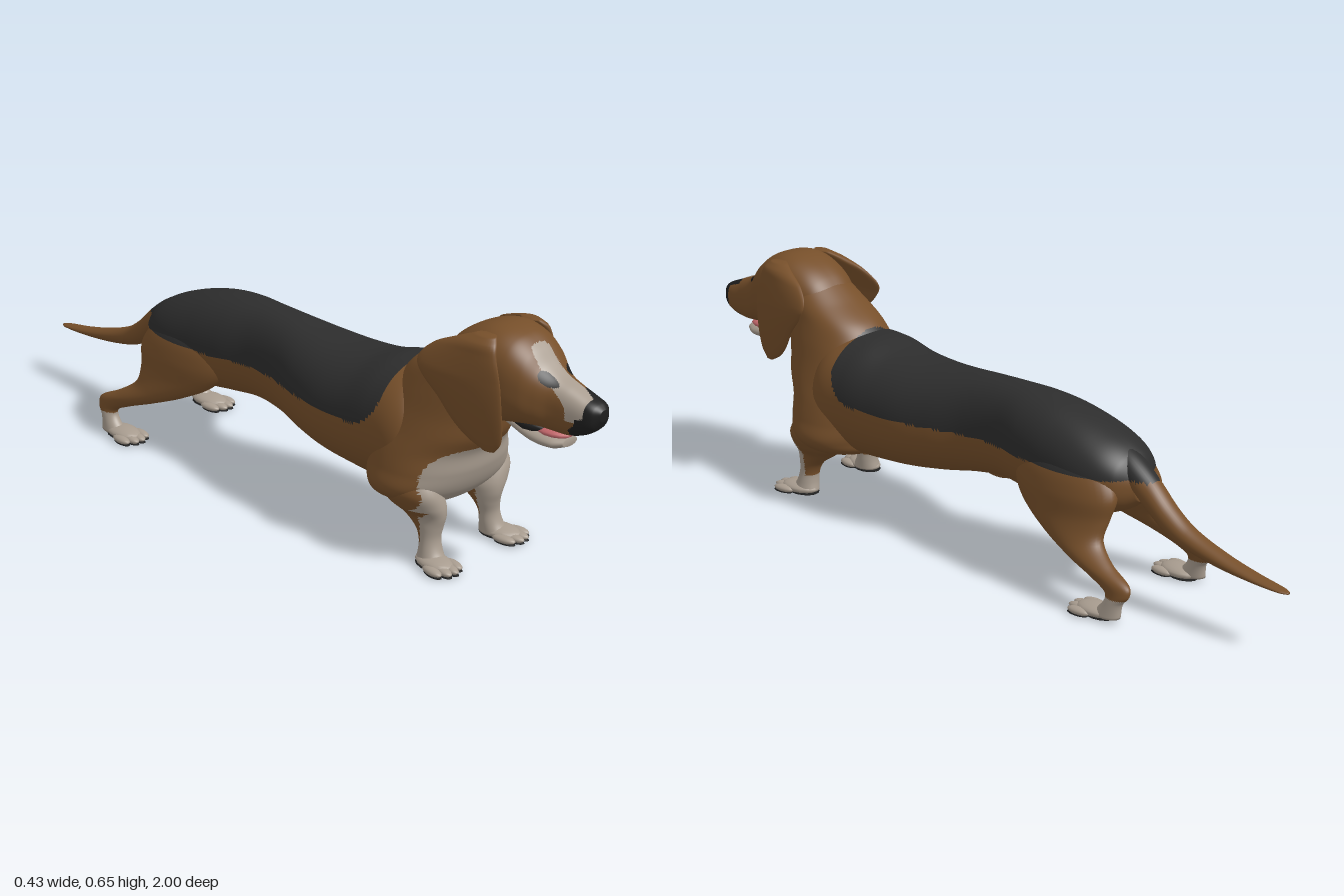
import * as THREE from 'three';

const flat = (name, color) => {
  const m = new THREE.MeshStandardMaterial({ color });
  m.name = name;
  return m;
};
const mats = [
  flat('tan coat', 0x764f2a), flat('off-white fur', 0xa89c8f), flat('black saddle', 0x2d2d2d),
  flat('dark pads', 0x1e1e1e), flat('pink tongue', 0xc4686c),
];
const TAN = 0, WHITE = 1, BLACK = 2, DARK = 3, PINK = 4;

// Smooth skin through cross-sections. Rows, ascending: [t, centre x, low, high, half width].
// axis 'z': t is z and low/high are y; axis 'y': t is y and low/high are z.
function loft(name, rows, { axis = 'z', side = 1, n = 40, m = 32, power = 2, bend, paint = () => TAN } = {}) {
  const slope = (k, c) => {
    const a = rows[Math.max(k - 1, 0)], b = rows[Math.min(k + 1, rows.length - 1)];
    return (b[c] - a[c]) / (b[0] - a[0]);
  };
  const sample = (u) => {
    const k = Math.min(Math.floor(u), rows.length - 2), f = u - k, h = rows[k + 1][0] - rows[k][0];
    return rows[k].map((v, c) => {
      if (c === 0) return v + f * h;
      const w = rows[k + 1][c], f2 = f * f, f3 = f2 * f;
      return v * (2 * f3 - 3 * f2 + 1) + w * (3 * f2 - 2 * f3)
        + h * (slope(k, c) * (f3 - 2 * f2 + f) + slope(k + 1, c) * (f3 - f2));
    });
  };
  const pts = [];
  for (let i = -1; i <= n + 1; i++) {
    const [t, x, lo, hi, w] = sample((Math.min(Math.max(i, 0), n) / n) * (rows.length - 1));
    const r = i < 0 || i > n ? 0 : 1; // closed ends
    for (let j = 0; j < m; j++) {
      const a = (j / m) * Math.PI * 2, c = Math.cos(a), s = Math.sin(a);
      const px = x * side + r * w * Math.sign(c) * Math.abs(c) ** (2 / power);
      const q = r * Math.sign(s) * Math.abs(s) ** (2 / power) * (hi - lo) / 2, mid = (lo + hi) / 2;
      const p = axis === 'z' ? new THREE.Vector3(px, mid + q, t) : new THREE.Vector3(px, t, mid - q);
      if (bend) bend(p, side);
      pts.push(p);
    }
  }
  const buckets = mats.map(() => []), mid = new THREE.Vector3();
  const tri = (a, b, c) => {
    mid.copy(pts[a]).add(pts[b]).add(pts[c]).divideScalar(3);
    buckets[paint(mid)].push(a, b, c);
  };
  for (let i = 0; i < n + 2; i++) {
    for (let j = 0; j < m; j++) {
      const a = i * m + j, b = i * m + (j + 1) % m;
      if (i > 0) tri(a, b, b + m);
      if (i < n + 1) tri(a, b + m, a + m);
    }
  }
  const geo = new THREE.BufferGeometry().setFromPoints(pts);
  geo.setIndex(buckets.flat());
  let start = 0;
  buckets.forEach((b, k) => {
    if (b.length) geo.addGroup(start, b.length, k);
    start += b.length;
  });
  geo.computeVertexNormals();
  const mesh = new THREE.Mesh(geo, mats);
  mesh.name = name;
  return mesh;
}

// Coat markings
const corner = (u, v, r) => u > 0 && v > 0 && u * u + v * v > r * r;
function coat({ x, y, z }) {
  if (y > 0.325 && z < 0.44 && z > -0.585 && !corner(z - 0.34, 0.425 - y, 0.1)) return BLACK;
  if (z > 0.56 && y > 0.152 && y < 0.317 && Math.abs(x) < 0.167
    && !corner(Math.abs(x) - 0.077, y - 0.227, 0.09)) return WHITE;
  return TAN;
}
function face({ x, y, z }) {
  const eye = (cx, rx, ry) => ((x - cx) / rx) ** 2 + ((y - 0.557) / ry) ** 2 < 1;
  if (z > 0.8 && (eye(-0.032, 0.017, 0.017) || eye(0.055, 0.018, 0.009))) return DARK;
  if (z > 0.968 || (z > 0.93 && x > -0.028 && x < 0.05 && y < 0.505 + x)) return DARK;
  if (z > 0.75 && x > -0.034 && x < 0.03 && y > 0.47 && y < 0.625
    && !corner(Math.abs(x + 0.002) - 0.012, y - 0.605, 0.02)) return WHITE;
  return TAN;
}
const frontSock = (p) => (p.y < 0.06 || (p.z > 0.572 && p.y < 0.16 && Math.abs(p.x) < 0.148) ? WHITE : coat(p));
const hindSock = (p) => (p.y < 0.065 ? WHITE : coat(p));

function ball(name, mat, x, y, z, rx, ry, rz) {
  const mesh = new THREE.Mesh(new THREE.SphereGeometry(1, 14, 10), mats[mat]);
  mesh.position.set(x, y, z);
  mesh.scale.set(rx, ry, rz);
  mesh.name = name;
  return mesh;
}

// Flat paw with four splayed toes and dark pads
function paw(name, x, z, turn) {
  const g = new THREE.Group();
  g.name = name;
  g.add(ball('pawBase', WHITE, 0, 0.016, -0.005, 0.038, 0.016, 0.06));
  g.add(ball('heelPad', DARK, 0, 0.005, -0.015, 0.035, 0.005, 0.05));
  for (let i = 0; i < 4; i++) {
    const u = i - 1.5, tx = u * 0.022, tz = 0.047 - Math.abs(u) * 0.013;
    g.add(ball('toe', WHITE, tx, 0.012, tz, 0.015, 0.01, 0.034));
    g.add(ball('toePad', DARK, tx, 0.004, tz + 0.003, 0.014, 0.004, 0.032));
  }
  g.position.set(x, 0, z);
  g.rotation.y = turn;
  return g;
}

export function createModel() {
  const dog = new THREE.Group();
  dog.name = 'hound';

  dog.add(loft('torso', [
    [-0.54, 0, 0.26, 0.33, 0.035], [-0.5, 0, 0.23, 0.38, 0.09], [-0.42, 0, 0.2, 0.42, 0.125],
    [-0.3, 0, 0.19, 0.455, 0.13], [-0.2, 0, 0.2, 0.468, 0.12], [-0.1, 0, 0.207, 0.47, 0.101],
    [0, 0, 0.195, 0.465, 0.108], [0.1, 0, 0.175, 0.455, 0.137], [0.2, 0, 0.16, 0.45, 0.16],
    [0.3, 0, 0.15, 0.458, 0.167], [0.4, 0, 0.145, 0.48, 0.172], [0.5, 0, 0.15, 0.47, 0.165],
    [0.57, 0, 0.2, 0.4, 0.1],
  ], { n: 150, m: 110, power: 2.2, paint: coat }));

  dog.add(loft('chestAndNeck', [
    [0.142, 0, 0.42, 0.57, 0.09], [0.165, 0, 0.37, 0.605, 0.165], [0.2, 0, 0.36, 0.635, 0.199],
    [0.25, 0, 0.35, 0.655, 0.189], [0.3, 0, 0.35, 0.663, 0.174], [0.35, 0, 0.36, 0.69, 0.155],
    [0.4, 0, 0.38, 0.7, 0.138], [0.45, 0, 0.41, 0.71, 0.124], [0.5, 0, 0.45, 0.72, 0.11],
    [0.55, 0, 0.53, 0.74, 0.1], [0.6, 0, 0.6, 0.74, 0.08],
  ], { axis: 'y', n: 110, m: 110, power: 2.2, paint: coat }));

  dog.add(loft('head', [
    [0.55, 0, 0.47, 0.55, 0.05], [0.6, 0, 0.43, 0.607, 0.09], [0.66, 0, 0.41, 0.642, 0.108],
    [0.72, 0, 0.41, 0.655, 0.114], [0.78, 0, 0.42, 0.643, 0.104], [0.82, 0.003, 0.425, 0.615, 0.09],
    [0.85, 0.007, 0.425, 0.58, 0.073], [0.88, 0.01, 0.421, 0.558, 0.057], [0.92, 0.013, 0.42, 0.542, 0.048],
    [0.96, 0.018, 0.432, 0.525, 0.043], [0.985, 0.02, 0.45, 0.515, 0.034], [1, 0.02, 0.475, 0.503, 0.015],
  ], { n: 130, m: 110, power: 2.6, paint: face }));

  // Open mouth
  dog.add(loft('lowerJaw', [
    [0.74, 0.003, 0.4, 0.435, 0.035], [0.82, 0.005, 0.378, 0.42, 0.045],
    [0.88, 0.008, 0.376, 0.412, 0.043], [0.91, 0.01, 0.386, 0.408, 0.026],
  ], { paint: () => WHITE }));
  dog.add(ball('tongue', PINK, 0.009, 0.413, 0.857, 0.036, 0.013, 0.056));
  dog.add(ball('mouthInside', DARK, 0.007, 0.418, 0.8, 0.045, 0.022, 0.06));

  dog.add(loft('tail', [
    [-1, 0.014, 0.154, 0.159, 0.006], [-0.98, 0.014, 0.153, 0.163, 0.015], [-0.9, 0.014, 0.155, 0.176, 0.022],
    [-0.8, 0.014, 0.163, 0.2, 0.027], [-0.7, 0.013, 0.18, 0.235, 0.032], [-0.64, 0.012, 0.2, 0.275, 0.035],
    [-0.58, 0.01, 0.24, 0.33, 0.038], [-0.52, 0.006, 0.29, 0.372, 0.042], [-0.46, 0, 0.32, 0.4, 0.04],
  ], { n: 70, paint: coat }));
  dog.add(ball('sheath', TAN, 0, 0.204, -0.04, 0.02, 0.016, 0.055));

  for (const side of [1, -1]) {
    const label = side > 0 ? 'left' : 'right';
    // Hanging ear, its rear edge swung outward below the root
    dog.add(loft(label + 'Ear', [
      [0.355, 0.101, 0.735, 0.765, 0.006], [0.38, 0.104, 0.69, 0.783, 0.01], [0.42, 0.109, 0.65, 0.79, 0.012],
      [0.47, 0.114, 0.615, 0.79, 0.013], [0.52, 0.116, 0.57, 0.787, 0.014], [0.56, 0.114, 0.555, 0.78, 0.015],
      [0.6, 0.107, 0.59, 0.768, 0.017], [0.625, 0.097, 0.645, 0.76, 0.02], [0.642, 0.08, 0.69, 0.745, 0.016],
    ], {
      axis: 'y', side,
      bend: (p, s) => { p.x += s * 0.18 * (0.73 - p.z) * Math.min(1, (0.66 - p.y) / 0.12); },
    }));

    dog.add(loft(label + 'FrontLeg', [
      [0.012, 0.118, 0.55, 0.635, 0.034], [0.04, 0.114, 0.555, 0.616, 0.031], [0.07, 0.111, 0.553, 0.608, 0.029],
      [0.1, 0.107, 0.535, 0.612, 0.034], [0.13, 0.106, 0.49, 0.62, 0.042], [0.16, 0.115, 0.45, 0.622, 0.058],
      [0.2, 0.13, 0.44, 0.615, 0.06], [0.25, 0.13, 0.46, 0.59, 0.04],
    ], { axis: 'y', side, n: 50, m: 40, paint: frontSock }));
    dog.add(paw(label + 'FrontPaw', side * 0.125, 0.613, side * 0.15));

    dog.add(loft(label + 'HindLeg', [
      [0.012, 0.168, -0.605, -0.52, 0.026], [0.05, 0.165, -0.61, -0.555, 0.021], [0.075, 0.161, -0.628, -0.553, 0.02],
      [0.1, 0.156, -0.622, -0.5, 0.024], [0.13, 0.146, -0.56, -0.42, 0.032], [0.17, 0.123, -0.505, -0.32, 0.045],
      [0.22, 0.1, -0.505, -0.23, 0.056], [0.28, 0.085, -0.515, -0.19, 0.065], [0.34, 0.07, -0.48, -0.2, 0.06],
      [0.4, 0.05, -0.42, -0.26, 0.03],
    ], { axis: 'y', side, n: 60, m: 40, paint: hindSock }));
    dog.add(paw(label + 'HindPaw', side * 0.163, -0.524, side * 0.06));
  }
  return dog;
}
